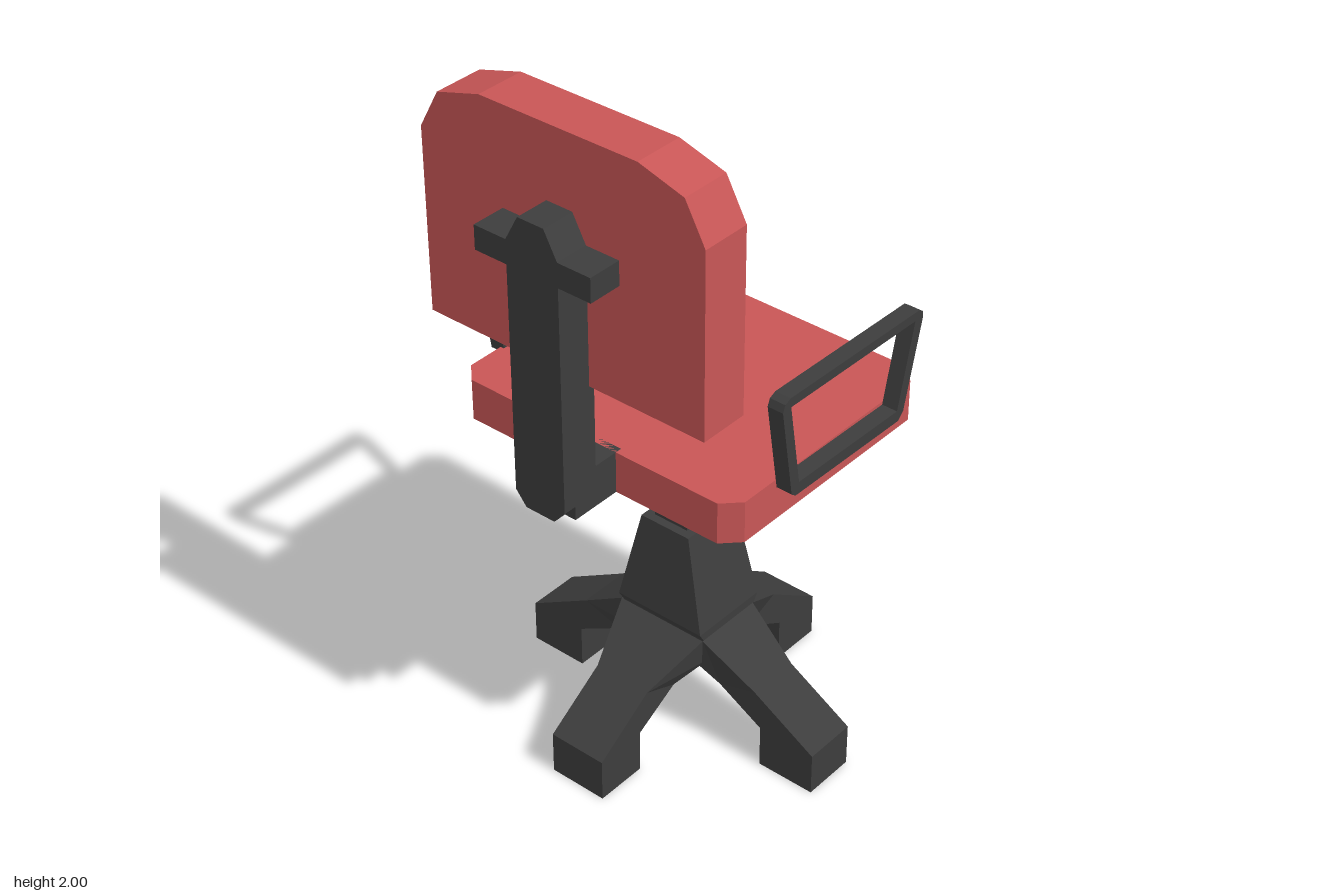
import * as THREE from 'three';

const red = new THREE.MeshStandardMaterial({ color: 0xc85656 });
red.name = 'red upholstery';
const dark = new THREE.MeshStandardMaterial({ color: 0x3d3d3d });
dark.name = 'dark plastic';

// Axis of the gas lift
const CX = -0.005, CZ = -0.057;

// Solid through equal-length rings, each counter-clockwise seen from the far end
function loft(rings) {
  const pos = [];
  const tri = (a, b, c) => pos.push(...a, ...b, ...c);
  const n = rings[0].length, last = rings[rings.length - 1];
  for (let k = 0; k < rings.length - 1; k++) {
    const a = rings[k], b = rings[k + 1];
    for (let i = 0; i < n; i++) {
      const j = (i + 1) % n;
      tri(a[i], a[j], b[j]);
      tri(a[i], b[j], b[i]);
    }
  }
  for (let i = 1; i < n - 1; i++) {
    tri(rings[0][0], rings[0][i + 1], rings[0][i]);
    tri(last[0], last[i], last[i + 1]);
  }
  const g = new THREE.BufferGeometry();
  g.setAttribute('position', new THREE.Float32BufferAttribute(pos, 3));
  g.computeVertexNormals();
  return g;
}

const shape = pts => new THREE.Shape(pts.map(p => new THREE.Vector2(...p)));
const extrude = (s, depth) => new THREE.ExtrudeGeometry(s, { depth, bevelEnabled: false });
const rect = (y, hx, hz) => [[-hx, y, hz], [hx, y, hz], [hx, y, -hz], [-hx, y, -hz]];

export function createModel() {
  const model = new THREE.Group();
  model.name = 'officeChair';
  const add = (name, geometry, material, x = 0, y = 0, z = 0) => {
    const m = new THREE.Mesh(geometry, material);
    m.name = name;
    m.position.set(x, y, z);
    model.add(m);
    return m;
  };

  // Seat: chamfered slab with a shallow pyramid underneath
  const hx = 0.45, hz = 0.38, c = 0.047;
  const seatRing = (y, s) => [
    [-hx + c, hz], [hx - c, hz], [hx, hz - c], [hx, -hz + c],
    [hx - c, -hz], [-hx + c, -hz], [-hx, -hz + c], [-hx, hz - c],
  ].map(([x, z]) => [x * s, y, z * s]);
  add('seat', loft([seatRing(0.933, 0.06), seatRing(0.97, 1), seatRing(1.09, 1)]), red, CX, 0, -0.06);

  // Backrest with clipped upper corners
  add('backrest', extrude(shape([
    [-0.44, 1.333], [0.43, 1.333], [0.43, 1.85], [0.37, 1.96],
    [0.235, 2], [-0.245, 2], [-0.38, 1.96], [-0.44, 1.85],
  ]), 0.143), red, 0, 0, 0.267);

  // Backrest support: post with crossbar, joined to the seat
  add('backSupport', extrude(shape([
    [-0.05, 0.97], [0.042, 0.97], [0.077, 1.01], [0.077, 1.655], [0.177, 1.655],
    [0.177, 1.723], [0.077, 1.723], [0.037, 1.797], [-0.043, 1.797], [-0.083, 1.723],
    [-0.183, 1.723], [-0.183, 1.655], [-0.083, 1.655], [-0.083, 1.01],
  ]), 0.115), dark, 0, 0, 0.393);
  add('supportBracket', new THREE.BoxGeometry(0.16, 0.12, 0.17), dark, -0.003, 1.03, 0.385);

  // Armrest loops, drawn in side profile
  const loop = shape([
    [0.16, 1.073], [0.145, 1.061], [-0.272, 1.055], [-0.292, 1.075], [-0.354, 1.325],
    [-0.352, 1.343], [-0.338, 1.353], [0.175, 1.362], [0.195, 1.353], [0.203, 1.333],
  ]);
  loop.holes.push(new THREE.Path([
    [0.132, 1.095], [0.172, 1.335], [-0.322, 1.328], [-0.265, 1.088],
  ].map(p => new THREE.Vector2(...p))));
  const arm = extrude(loop, 0.046).rotateY(-Math.PI / 2);
  add('leftArmrest', arm, dark, 0.497);
  add('rightArmrest', arm, dark, -0.444);

  // Gas lift, tapered housing and hub
  add('stem', new THREE.BoxGeometry(0.11, 0.32, 0.144), dark, CX, 0.79, CZ);
  add('housing', loft([
    rect(0.25, 0.11, 0.085), rect(0.35, 0.142, 0.106),
    rect(0.375, 0.142, 0.121), rect(0.655, 0.08, 0.097),
  ]), dark, CX, 0, CZ);

  // Four legs: wide at the hub, sloping out to a block foot
  const leg = ({ hub, hubHalf, mid, midY, outer, inner, half }) => {
    const ring = (rt, yt, rb, yb, w) => [[rt, yt, -w], [rt, yt, w], [rb, yb, w], [rb, yb, -w]];
    return loft([
      ring(hub, 0.35, hub - 0.04, 0.27, hubHalf),
      ring(mid, midY, inner - 0.14, 0.205, half),
      ring(outer, 0.127, inner, 0.127, half),
      ring(outer, 0, inner, 0, half),
    ]);
  };
  const sideLeg = leg({ hub: 0.142, hubHalf: 0.106, mid: 0.3, midY: 0.24, outer: 0.495, inner: 0.32, half: 0.078 });
  const endLeg = leg({ hub: 0.106, hubHalf: 0.142, mid: 0.27, midY: 0.248, outer: 0.453, inner: 0.3, half: 0.087 });
  ['leftLeg', 'backLeg', 'rightLeg', 'frontLeg'].forEach((name, i) => {
    add(name, i % 2 ? endLeg : sideLeg, dark, CX, 0, CZ + 0.004).rotation.y = i * Math.PI / 2;
  });

  return model;
}
